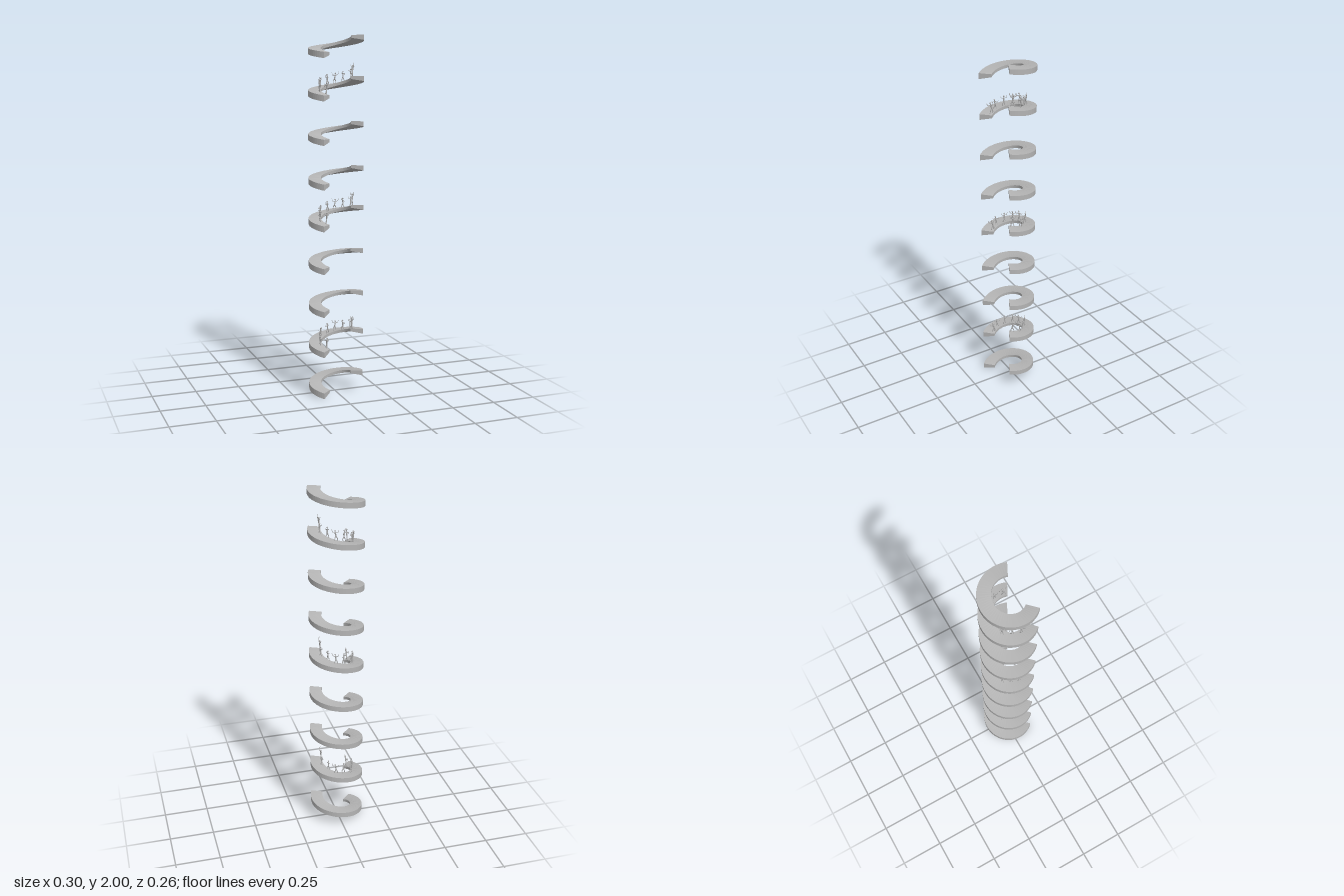
import * as THREE from 'three';

const CENTRE_Z = 0.021, INNER = 0.083, OUTER = 0.152;
const START = THREE.MathUtils.degToRad(135), END = THREE.MathUtils.degToRad(386.7);

const grey = new THREE.MeshStandardMaterial({ color: 0xb4b4b4 });
grey.name = 'plain grey';

// Height of the walking surface at fraction f along a ramp
const topHeight = (f, height) => 0.033 + f * (height - 0.033);

// Spiral ramp: a wedge-shaped section, deeper at the outer rim, swept up a helix
function rampGeometry(height, steps = 44) {
  const ring = i => {
    const f = i / steps, a = START + f * (END - START), top = topHeight(f, height);
    const outerDepth = 0.033 - 0.006 * f;
    return [[OUTER, top - outerDepth], [OUTER, top], [INNER, top], [INNER, top - 0.016]]
      .map(([r, y]) => [r * Math.cos(a), y, CENTRE_Z + r * Math.sin(a)]);
  };
  const out = [];
  const quad = (a, b, c, d) => out.push(...a, ...b, ...c, ...a, ...c, ...d);
  for (let i = 0; i < steps; i++) {
    const p = ring(i), q = ring(i + 1);
    for (let j = 0; j < 4; j++) {
      const k = (j + 1) % 4;
      quad(p[j], p[k], q[k], q[j]);
    }
  }
  const s = ring(0), e = ring(steps);
  quad(s[3], s[2], s[1], s[0]);
  quad(e[0], e[1], e[2], e[3]);
  const g = new THREE.BufferGeometry();
  g.setAttribute('position', new THREE.Float32BufferAttribute(out, 3));
  g.computeVertexNormals();
  return g;
}

// Tapered limb between two points
function limb(name, from, to, r0, r1) {
  const a = new THREE.Vector3(...from), b = new THREE.Vector3(...to);
  const dir = b.clone().sub(a);
  const mesh = new THREE.Mesh(new THREE.CylinderGeometry(r1, r0, dir.length(), 6), grey);
  mesh.name = name;
  mesh.position.copy(a).add(b).multiplyScalar(0.5);
  mesh.quaternion.setFromUnitVectors(new THREE.Vector3(0, 1, 0), dir.normalize());
  return mesh;
}

// Small seeded generator for the poses
function seeded(seed) {
  return () => (seed = (seed * 16807) % 2147483647) / 2147483647;
}

// Slim dancing figure, about 0.06 tall, standing at the origin
function dancer(rand) {
  const g = new THREE.Group();
  g.name = 'dancer';
  const vary = s => (rand() - 0.5) * s;
  const lean = vary(0.012);
  const hip = [0, 0.027, 0], chest = [lean, 0.046, vary(0.006)];
  g.add(limb('torso', hip, chest, 0.0032, 0.0045));
  const head = new THREE.Mesh(new THREE.SphereGeometry(0.0042, 8, 6), grey);
  head.name = 'head';
  head.position.set(lean * 1.25, 0.055, chest[2]);
  g.add(head, limb('neck', chest, head.position.toArray(), 0.0018, 0.0018));
  for (const side of [-1, 1]) {
    const knee = [side * (0.004 + rand() * 0.004), 0.014, vary(0.012)];
    const foot = [side * (0.004 + rand() * 0.007), 0, vary(0.012)];
    g.add(limb('thigh', hip, knee, 0.003, 0.0022), limb('shin', knee, foot, 0.0022, 0.0014));
    const shoulder = [chest[0] + side * 0.004, 0.045, chest[2]];
    const elbow = [shoulder[0] + side * 0.01, 0.045 + vary(0.014), chest[2] + vary(0.012)];
    const hand = [elbow[0] + side * 0.005, elbow[1] + 0.004 + rand() * 0.014, elbow[2] + vary(0.01)];
    g.add(limb('upperArm', shoulder, elbow, 0.002, 0.0016), limb('forearm', elbow, hand, 0.0016, 0.001));
  }
  return g;
}

// Ring of dancers near the inner rim of a ramp
function dancers(height) {
  const group = new THREE.Group(), rand = seeded(731);
  group.name = 'dancers';
  [0.04, 0.14, 0.25, 0.37, 0.49, 0.6, 0.72, 0.84, 0.95].forEach((f, i) => {
    const a = START + f * (END - START), r = 0.09 + 0.008 * (i % 2);
    const d = dancer(rand);
    d.position.set(r * Math.cos(a), topHeight(f, height) - 0.001, CENTRE_Z + r * Math.sin(a));
    d.rotation.y = -a - Math.PI / 2 + (rand() - 0.5) * 1.6;
    d.scale.setScalar(0.95 + rand() * 0.2);
    group.add(d);
  });
  return group;
}

export function createModel() {
  const model = new THREE.Group();
  model.name = 'spiralColumn';
  // Three modules of three ramps; the middle ramp of each carries dancers
  for (let m = 0; m < 3; m++) {
    [0, 0.236, 0.464].forEach((y, i) => {
      const height = i === 1 ? 0.134 : 0.126;
      const tier = new THREE.Group();
      tier.name = 'tier';
      tier.position.y = m * 0.705 + y;
      const ramp = new THREE.Mesh(rampGeometry(height), grey);
      ramp.name = 'spiralRamp';
      tier.add(ramp);
      if (i === 1) tier.add(dancers(height));
      model.add(tier);
    });
  }
  return model;
}
